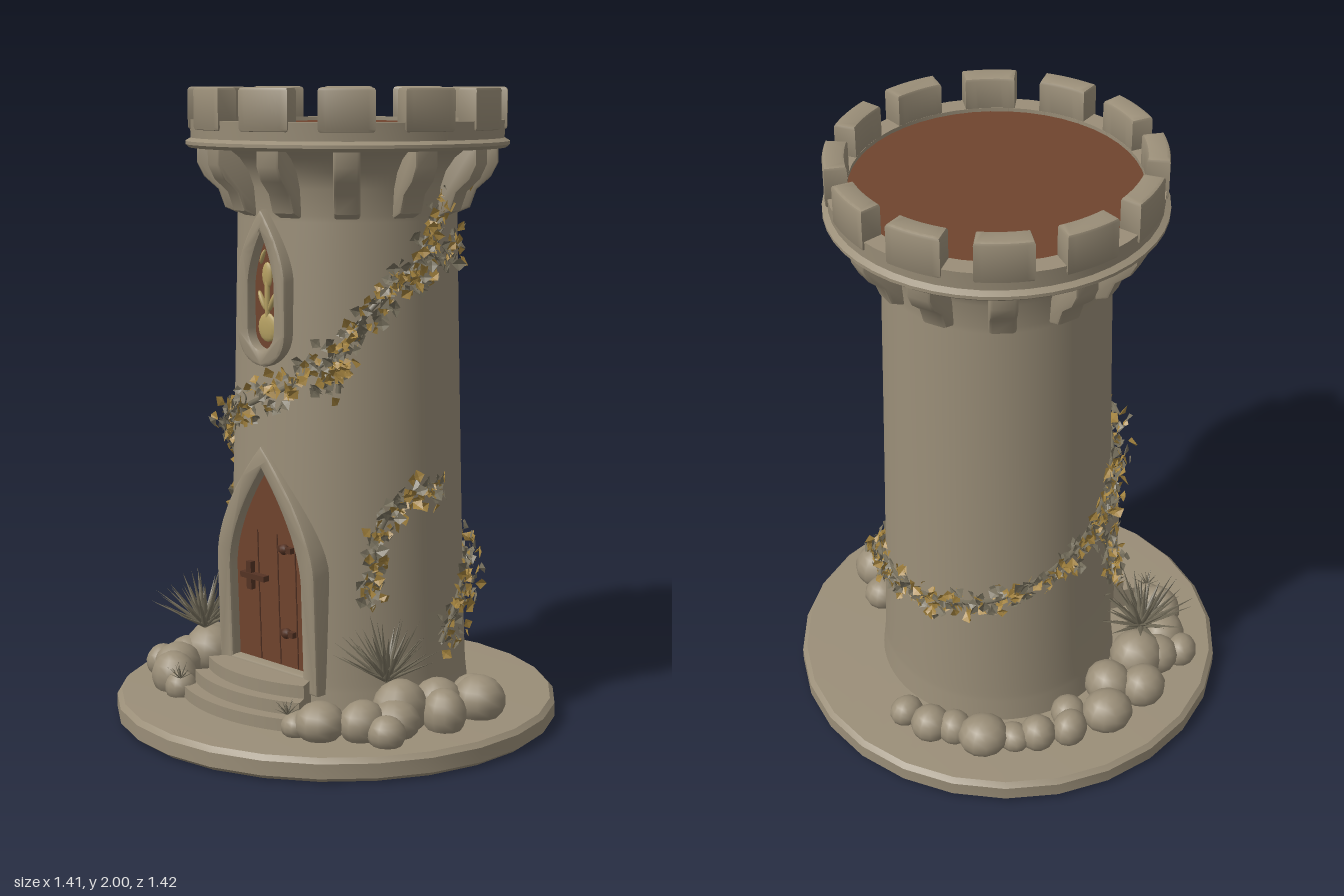
import * as THREE from 'three';
import { mergeGeometries, toCreasedNormals } from 'three/addons/utils/BufferGeometryUtils.js';

const CZ = -0.05; // tower axis sits slightly behind the base centre

export function createModel() {
  const root = new THREE.Group();
  const mat = (name, color, side = THREE.FrontSide) => {
    const m = new THREE.MeshStandardMaterial({ color, side });
    m.name = name;
    return m;
  };
  const stone = mat('stone', 0x9a8e78);
  const wood = mat('wood', 0x70442e);
  const darkWood = mat('darkWood', 0x553324);
  const gold = mat('paleGold', 0xb5a062);
  const yellowLeaf = mat('yellowLeaf', 0xa5843f, THREE.DoubleSide);
  const greyLeaf = mat('greyLeaf', 0x78715e, THREE.DoubleSide);

  let seed = 7;
  const rand = () => (seed = (seed * 16807) % 2147483647) / 2147483647;
  const spread = (a) => (rand() - 0.5) * 2 * a;

  const add = (name, geo, material, x = 0, y = 0, z = 0, parent = root) => {
    const m = new THREE.Mesh(geo, material);
    m.name = name;
    m.position.set(x, y, z);
    parent.add(m);
    return m;
  };
  const lathe = (pts, seg) => new THREE.LatheGeometry(pts.map(p => new THREE.Vector2(...p)), seg);
  const around = (deg, y, r) => {
    const a = THREE.MathUtils.degToRad(deg);
    return new THREE.Vector3(Math.sin(a) * r, y, Math.cos(a) * r + CZ);
  };

  // Pointed arch: half width as a function of height, and its outline
  const halfWidth = (a, y) => {
    if (y < a.bottom || y > a.top) return 0;
    if (y > a.spring) return a.w * (1 - ((y - a.spring) / (a.top - a.spring)) ** 1.7);
    if (y < a.low) return a.w * Math.sqrt(Math.max(0, 1 - ((a.low - y) / (a.low - a.bottom)) ** 2));
    return a.w;
  };
  const outline = (a) => {
    const right = [];
    if (a.low > a.bottom) for (let i = 0; i < 8; i++) {
      const y = a.low - (a.low - a.bottom) * Math.cos(i / 8 * Math.PI / 2);
      right.push([halfWidth(a, y), y]);
    }
    right.push([a.w, a.low]);
    for (let i = 0; i <= 12; i++) {
      const y = a.spring + (a.top - a.spring) * i / 12;
      right.push([halfWidth(a, y), y]);
    }
    const left = right.filter(p => p[0] > 1e-6).reverse().map(p => [-p[0], p[1]]);
    return right.concat(left).map(p => new THREE.Vector2(...p));
  };
  const doorIn = { w: 0.17, bottom: 0.2, low: 0.2, spring: 0.5, top: 0.85 };
  const doorOut = { w: 0.215, bottom: 0.16, low: 0.16, spring: 0.52, top: 0.9 };
  const winIn = { w: 0.065, bottom: 1.2, low: 1.27, spring: 1.4, top: 1.58 };
  const winOut = { w: 0.098, bottom: 1.165, low: 1.26, spring: 1.42, top: 1.625 };
  const midArch = (a, b) => Object.fromEntries(Object.keys(a).map(k => [k, (a[k] + b[k]) / 2]));
  const recesses = [midArch(doorIn, doorOut), midArch(winIn, winOut)];

  // Round base
  const base = lathe([[0, 0], [0.69, 0], [0.71, 0.015], [0.71, 0.06], [0.695, 0.075], [0.4, 0.085], [0, 0.085]], 26);
  add('base', toCreasedNormals(base, 0.6), stone);

  // Tower wall, with the door and window recesses pushed in
  const wall = [[0.395, 0.07], [0.385, 0.16]];
  for (let i = 1; i <= 75; i++) wall.push([0.385 - 0.04 * (i / 75) ** 0.8, 0.16 + 1.46 * i / 75]);
  wall.push([0.352, 1.7], [0.37, 1.75], [0.4, 1.79], [0.44, 1.82], [0.48, 1.83]);
  const body = lathe(wall, 128);
  const p = body.attributes.position;
  for (let i = 0; i < p.count; i++) {
    const x = p.getX(i), y = p.getY(i);
    if (p.getZ(i) > 0 && recesses.some(a => Math.abs(x) < halfWidth(a, y))) p.setZ(i, Math.min(p.getZ(i), 0.24 - CZ));
  }
  add('towerWall', body, stone, 0, 0, CZ);

  // Door and window surrounds with their inset panels
  const archway = (name, inner, outer, z, tilt) => {
    const g = new THREE.Group();
    g.name = name;
    g.position.set(0, inner.bottom, z);
    g.rotation.x = tilt;
    root.add(g);
    const ring = new THREE.Shape(outline(outer));
    ring.holes.push(new THREE.Path(outline(inner)));
    const frame = new THREE.ExtrudeGeometry(ring, { depth: 0.085, bevelThickness: 0.012, bevelSize: 0.008, bevelSegments: 2 });
    add(name + 'Frame', toCreasedNormals(frame, 0.7), stone, 0, -inner.bottom, -0.097, g);
    const panel = new THREE.ExtrudeGeometry(new THREE.Shape(outline(inner)), { depth: 0.02, bevelEnabled: false });
    add(name + 'Panel', panel, wood, 0, -inner.bottom, -0.055, g);
    return g;
  };
  const door = archway('door', doorIn, doorOut, 0.305, 0.035);
  const win = archway('window', winIn, winOut, 0.325, 0);

  // Door latch, plank grooves and hinges
  add('latchBar', new THREE.BoxGeometry(0.11, 0.018, 0.025), darkWood, -0.07, 0.28, -0.025, door);
  add('latchPlate', new THREE.BoxGeometry(0.022, 0.09, 0.02), darkWood, -0.09, 0.28, -0.027, door);
  for (const y of [0.12, 0.39]) {
    add('hinge', new THREE.BoxGeometry(0.06, 0.018, 0.02), darkWood, 0.075, y, -0.028, door);
    add('hingeKnob', new THREE.SphereGeometry(0.017, 8, 6), darkWood, 0.07, y, -0.025, door);
  }
  for (const x of [-0.06, 0.03, 0.11]) add('plankGroove', new THREE.BoxGeometry(0.004, 0.42, 0.004), darkWood, x, 0.22, -0.035, door);

  // Window ornament: round blossom, stem and leaves
  const disc = (name, x, y, sx, sy) => {
    const m = add(name, new THREE.SphereGeometry(1, 12, 8), gold, x, y, -0.033, win);
    m.scale.set(sx, sy, 0.01);
    return m;
  };
  disc('blossom', 0, 0.075, 0.042, 0.045);
  disc('stem', 0, 0.17, 0.009, 0.1);
  disc('topLeaf', 0, 0.235, 0.022, 0.04);
  for (const s of [-1, 1]) {
    disc('sideLeaf', s * 0.022, 0.155, 0.009, 0.035).rotation.z = -s * 0.5;
    disc('curl', s * 0.02, 0.29, 0.006, 0.025).rotation.z = s * 0.4;
  }

  // Curved front steps
  [[0.46, 0.2], [0.505, 0.16], [0.55, 0.12]].forEach(([r, top]) => {
    const s = new THREE.Shape();
    const from = Math.PI / 2 - 0.5, to = Math.PI / 2 + 0.5;
    s.absarc(0, 0, r, from, to, false);
    s.absarc(0, 0, 0.3, to, from, true);
    const g = new THREE.ExtrudeGeometry(s, { depth: top - 0.07, bevelEnabled: false, curveSegments: 16 });
    g.rotateX(Math.PI / 2);
    add('step', toCreasedNormals(g, 0.6), stone, 0, top, CZ);
  });

  // Parapet ring, roof floor, merlons and corbels
  const ring = lathe([[0.43, 1.82], [0.495, 1.815], [0.507, 1.825], [0.507, 1.835], [0.49, 1.845], [0.493, 1.9],
    [0.432, 1.9], [0.432, 1.82]], 48);
  add('parapet', toCreasedNormals(ring, 0.6), stone, 0, 0, CZ);
  const floor = new THREE.CircleGeometry(0.44, 48).rotateX(-Math.PI / 2);
  add('roofFloor', floor, wood, 0, 1.888, CZ);

  const arc = new THREE.Shape();
  arc.absarc(0, 0, 0.488, -0.15, 0.15, false);
  arc.absarc(0, 0, 0.442, 0.15, -0.15, true);
  const merlon = toCreasedNormals(new THREE.ExtrudeGeometry(arc, {
    depth: 0.11, bevelThickness: 0.01, bevelSize: 0.01, bevelSegments: 2, curveSegments: 6,
  }).rotateX(-Math.PI / 2), 0.7);
  const corbelShape = new THREE.Shape([[0.32, 1.61], [0.375, 1.635], [0.395, 1.69], [0.44, 1.73], [0.46, 1.77], [0.46, 1.825],
    [0.32, 1.825]].map(q => new THREE.Vector2(...q)));
  const corbel = toCreasedNormals(new THREE.ExtrudeGeometry(corbelShape, {
    depth: 0.06, bevelThickness: 0.01, bevelSize: 0.01, bevelSegments: 2,
  }).translate(0, 0, -0.03), 0.7);
  for (let i = 0; i < 12; i++) {
    const a = (i + 0.5) * Math.PI / 6;
    add('merlon', merlon, stone, 0, 1.88, CZ).rotation.y = a;
    add('corbel', corbel, stone, 0, 0, CZ).rotation.y = a;
  }

  // Boulders around the foot: x, z, radius
  const boulder = (x, z, r) => {
    const m = add('boulder', new THREE.SphereGeometry(r, 12, 9), stone, x, 0.07 + r * 0.72, z);
    m.scale.set(1 + spread(0.1), 0.95 + spread(0.1), 1 + spread(0.1));
    m.rotation.y = rand() * 6;
  };
  const sides = [[0.54, 0.07, 0.075], [0.53, -0.1, 0.08], [0.34, 0.4, 0.075], [0.52, 0.3, 0.055], [0.43, 0.31, 0.075],
    [0.44, 0.16, 0.09], [0.27, 0.43, 0.05], [0.45, 0.0, 0.08], [0.48, 0.22, 0.07], [0.43, -0.18, 0.06]];
  sides.forEach(([x, z, r]) => { boulder(x, z, r); boulder(-x, z, r); });
  [[-0.48, -0.23, 0.06], [-0.42, -0.32, 0.065], [-0.3, -0.45, 0.075], [-0.2, -0.48, 0.06],
    [-0.13, -0.52, 0.06], [-0.03, -0.53, 0.055], [-0.37, -0.38, 0.055]].forEach(b => boulder(...b));

  // Spiky plants and small rosettes
  const tuft = (name, x, y, z, len, count) => {
    const blades = [];
    for (let i = 0; i < count; i++) {
      const l = len * (0.8 + rand() * 0.3);
      const g = new THREE.ConeGeometry(len * 0.075, l, 4).translate(0, l / 2, 0).scale(1, 1, 0.5);
      blades.push(g.rotateX(0.1 + 1.05 * Math.sqrt(i / count)).rotateY(i * 2.4));
    }
    add(name, mergeGeometries(blades), greyLeaf, x, y, z);
  };
  for (const s of [-1, 1]) {
    tuft('spikyPlant', s * 0.42, 0.23, 0.2, 0.19, 44);
    tuft('rosette', s * 0.25, 0.14, 0.45, 0.055, 16);
  }

  // Ivy: each vine is a list of [angle in degrees, height] on the wall
  const leaf = new THREE.BufferGeometry();
  leaf.setAttribute('position', new THREE.Float32BufferAttribute(
    [0, 0, 0, 0.5, 0.5, 0.2, 0, 0.45, 0, 0, 0.45, 0, 0.5, 0.5, 0.2, 0, 1.1, 0.1,
      0, 0, 0, 0, 0.45, 0, -0.5, 0.5, 0.2, 0, 0.45, 0, 0, 1.1, 0.1, -0.5, 0.5, 0.2], 3));
  leaf.computeVertexNormals();
  const vines = [
    [[118, 1.8], [105, 1.7], [92, 1.6], [85, 1.5], [70, 1.42], [55, 1.33], [43, 1.23], [20, 1.12], [-15, 1.02], [-50, 0.93],
      [-75, 0.82], [-100, 0.72], [-140, 0.6], [-180, 0.55], [-215, 0.52], [-245, 0.42], [-265, 0.28]],
    [[115, 1.53], [90, 1.47], [70, 1.41]],
    [[45, 1.24], [42, 1.17], [41, 1.09]],
    [[95, 0.77], [75, 0.77], [61, 0.67], [56, 0.45]],
    [[-58, 0.92], [-75, 0.78], [-68, 0.6], [-62, 0.42]],
  ];
  const leaves = [[], []];
  const dummy = new THREE.Object3D();
  vines.forEach((pts) => {
    const curve = new THREE.CatmullRomCurve3(pts.map(([d, y]) => around(d, y, 0.392 - 0.03 * y + (y > 1.7 ? 0.06 : 0))));
    const length = curve.getLength();
    add('vineStem', new THREE.TubeGeometry(curve, Math.ceil(length * 40), 0.009, 5), greyLeaf);
    const n = Math.round(length * 260);
    for (let i = 0; i < n; i++) {
      const at = curve.getPointAt(i / n);
      const out = new THREE.Vector3(at.x, 0, at.z - CZ).normalize();
      dummy.position.copy(at).addScaledVector(out, rand() * 0.035);
      dummy.position.y += spread(0.045);
      dummy.position.x += spread(0.035) * out.z;
      dummy.position.z -= spread(0.035) * out.x;
      dummy.rotation.set(spread(0.8), Math.atan2(out.x, out.z) + spread(0.9), rand() * 6.28, 'YXZ');
      dummy.scale.setScalar(0.026 + rand() * 0.016);
      dummy.updateMatrix();
      leaves[rand() < 0.5 ? 0 : 1].push(leaf.clone().applyMatrix4(dummy.matrix));
    }
  });
  add('yellowIvyLeaves', mergeGeometries(leaves[0]), yellowLeaf);
  add('greyIvyLeaves', mergeGeometries(leaves[1]), greyLeaf);

  return root;
}
